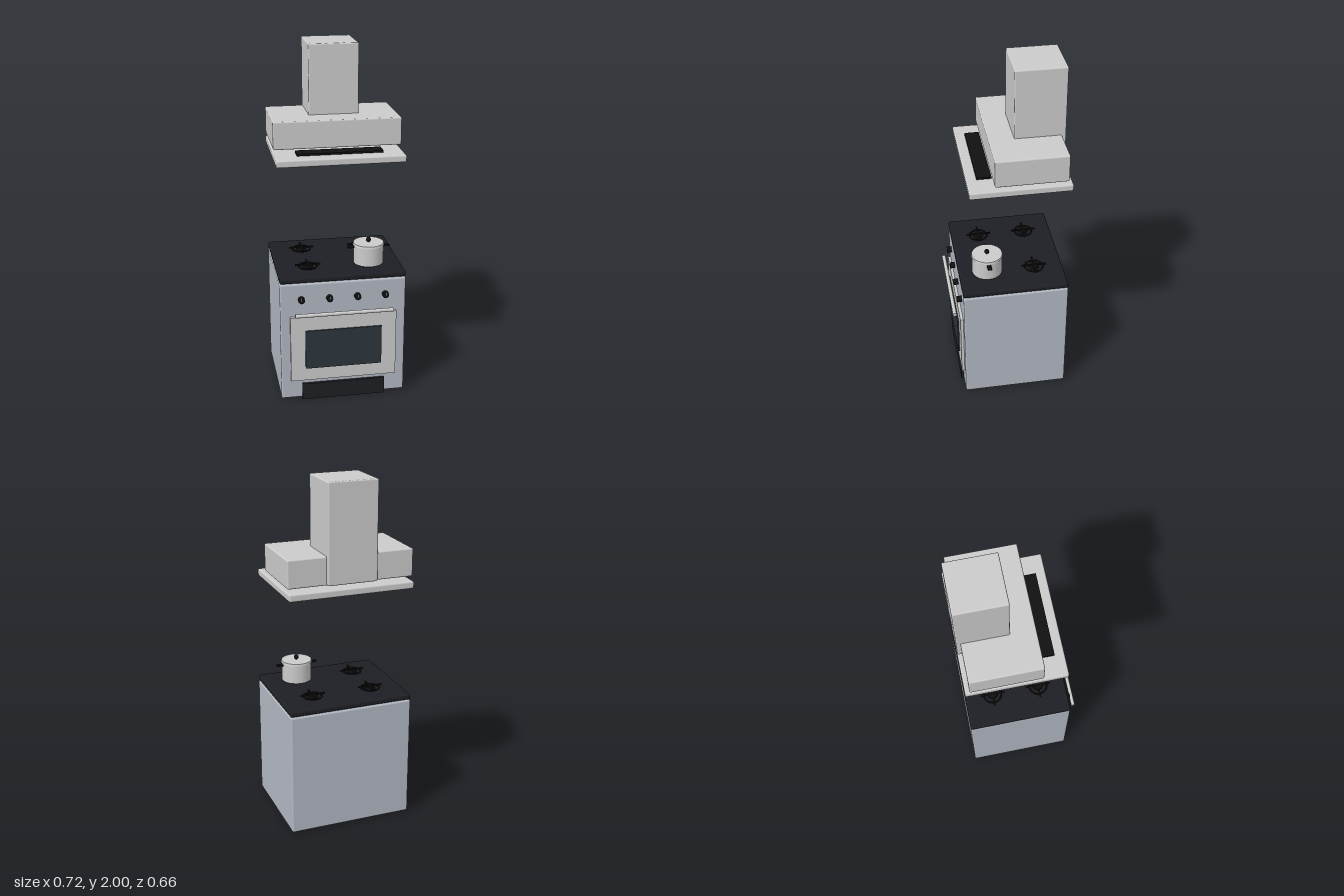
import * as THREE from 'three';
import { RoundedBoxGeometry } from 'three/addons/geometries/RoundedBoxGeometry.js';

const mat = (color) => new THREE.MeshStandardMaterial({ color });

export function createModel() {
  const model = new THREE.Group();
  const steel = mat(0xcccccc), enamel = mat(0xb2b8c2), black = mat(0x111111);
  const glass = mat(0x2b353c), hob = mat(0x1e1f24), dark = mat(0x1c1e22);

  const add = (name, geometry, material, x = 0, y = 0, z = 0, parent = model) => {
    const mesh = new THREE.Mesh(geometry, material);
    mesh.name = name;
    mesh.position.set(x, y, z);
    parent.add(mesh);
    return mesh;
  };
  // Box given by its limits on each axis; r > 0 rounds the edges
  const box = (name, material, [x0, x1], [y0, y1], [z0, z1], r = 0) => {
    const w = x1 - x0, h = y1 - y0, d = z1 - z0;
    const geometry = r ? new RoundedBoxGeometry(w, h, d, 3, r) : new THREE.BoxGeometry(w, h, d);
    return add(name, geometry, material, (x0 + x1) / 2, (y0 + y1) / 2, (z0 + z1) / 2);
  };
  const group = (name, x, y, z) => {
    const g = new THREE.Group();
    g.name = name;
    g.position.set(x, y, z);
    model.add(g);
    return g;
  };

  // Extractor hood
  box('chimney', steel, [-0.142, 0.142], [1.448, 2], [-0.328, -0.046], 0.008);
  box('canopy', steel, [-0.36, 0.36], [1.447, 1.604], [-0.305, 0.092], 0.008);
  box('hoodPlate', steel, [-0.36, 0.36], [1.383, 1.425], [-0.33, 0.228], 0.01);
  box('hoodControlStrip', black, [-0.24, 0.24], [1.431, 1.442], [0.092, 0.173]);

  // Oven cabinet and hob
  box('cabinet', enamel, [-0.36, 0.36], [0.007, 0.72], [-0.328, 0.272], 0.01);
  box('hobTop', hob, [-0.36, 0.36], [0.723, 0.756], [-0.328, 0.273], 0.012);
  box('plinth', dark, [-0.24, 0.24], [0, 0.1], [0.262, 0.287]);
  box('ovenDoor', steel, [-0.305, 0.305], [0.125, 0.523], [0.262, 0.289]);
  box('ovenWindow', glass, [-0.221, 0.219], [0.203, 0.439], [0.28, 0.297]);

  // Door handle bar, standing just clear of the door
  add('doorHandle', new THREE.CylinderGeometry(0.011, 0.011, 0.56, 16), steel, 0, 0.546, 0.317)
    .rotation.z = Math.PI / 2;

  // Control knobs with a small pointer
  for (const x of [-0.24, -0.08, 0.08, 0.24]) {
    const knob = group('controlKnob', x, 0.628, 0.272);
    add('knobBody', new THREE.CylinderGeometry(0.018, 0.019, 0.04, 20), black, 0, 0, 0.007, knob)
      .rotation.x = Math.PI / 2;
    add('knobPointer', new THREE.BoxGeometry(0.003, 0.016, 0.004), steel, 0, 0.009, 0.027, knob);
  }

  // Burners: cap, flame ring and crossed pan support
  for (const x of [-0.178, 0.174]) {
    for (const z of [-0.162, 0.112]) {
      const burner = group('burner', x, 0.756, z);
      add('burnerCap', new THREE.CylinderGeometry(0.026, 0.03, 0.014, 20), black, 0, 0.006, 0, burner);
      add('burnerRing', new THREE.TorusGeometry(0.052, 0.005, 8, 32), black, 0, 0.006, 0, burner)
        .rotation.x = Math.PI / 2;
      for (let i = 0; i < 2; i++) {
        add('supportBar', new THREE.BoxGeometry(0.144, 0.007, 0.009), black, 0, 0.0155, 0, burner)
          .rotation.y = i * Math.PI / 2;
      }
    }
  }

  // Cooking pot with lid, lid knob and two side handles
  const pot = group('cookingPot', 0.174, 0.765, 0.112);
  add('potBody', new THREE.CylinderGeometry(0.086, 0.086, 0.112, 40), steel, 0, 0.056, 0, pot);
  add('potLid', new THREE.CylinderGeometry(0.087, 0.09, 0.012, 40), steel, 0, 0.115, 0, pot);
  add('lidKnobStem', new THREE.CylinderGeometry(0.005, 0.005, 0.016, 12), black, 0, 0.126, 0, pot);
  add('lidKnob', new THREE.SphereGeometry(0.014, 16, 12), black, 0, 0.136, 0, pot);
  for (const side of [-1, 1]) {
    add('potHandle', new RoundedBoxGeometry(0.045, 0.011, 0.026, 2, 0.005), black, side * 0.101, 0.096, 0, pot);
  }

  return model;
}
